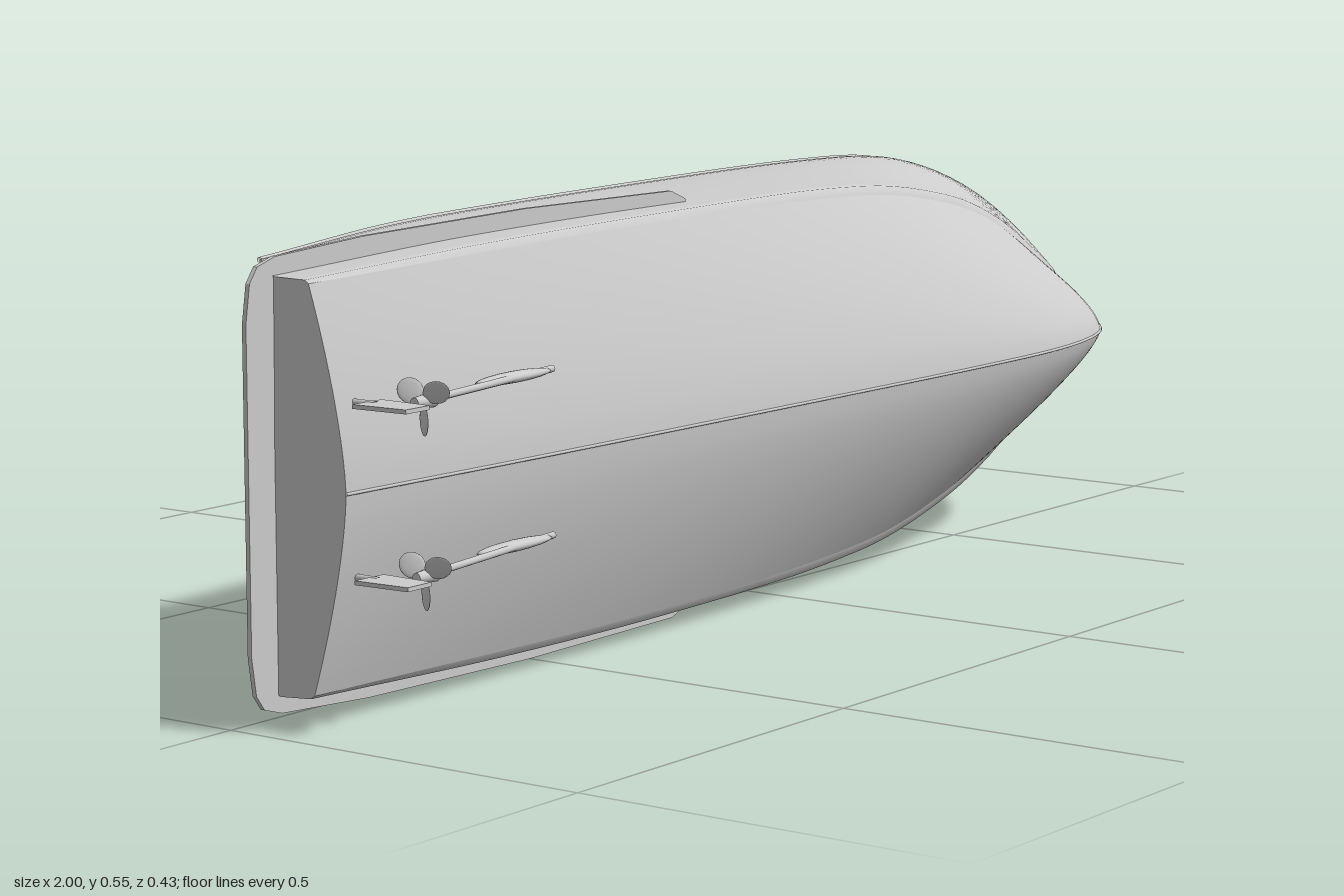
import * as THREE from 'three';
import { RoundedBoxGeometry } from 'three/addons/geometries/RoundedBoxGeometry.js';

const mat = new THREE.MeshStandardMaterial({ color: 0xcccccc, side: THREE.DoubleSide });
const V = (x, y, z) => new THREE.Vector3(x, y, z);
const range = (n, f) => Array.from({ length: n + 1 }, (_, i) => f(i / n));

// Smooth interpolation through [x, value] pairs
function curve(p) {
  const slope = i => {
    const a = p[Math.max(i - 1, 0)], b = p[Math.min(i + 1, p.length - 1)];
    return (b[1] - a[1]) / (b[0] - a[0]);
  };
  return x => {
    let i = 0;
    while (i < p.length - 2 && x > p[i + 1][0]) i++;
    const d = p[i + 1][0] - p[i][0], t = Math.min(1, Math.max(0, (x - p[i][0]) / d)), t2 = t * t, t3 = t2 * t;
    return (2 * t3 - 3 * t2 + 1) * p[i][1] + (t3 - 2 * t2 + t) * d * slope(i)
      + (3 * t2 - 2 * t3) * p[i + 1][1] + (t3 - t2) * d * slope(i + 1);
  };
}

// Hull lines: heights (H) and half-widths (W) along the length
const keelH = curve([[-.95, -.13], [-.6, -.145], [0, -.16], [.35, -.165], [.55, -.155], [.7, -.115], [.8, -.048], [.9, .06], [1, .178]]);
const chineH = curve([[-.95, -.085], [-.3, -.078], [.2, -.052], [.5, -.02], [.7, .003], [.82, .028], [.9, .085], [1, .178]]);
const chineW = curve([[-.95, .235], [-.3, .245], [.2, .235], [.45, .2], [.6, .155], [.75, .085], [.85, .04], [.93, .016], [1, 0]]);
const sheerH = curve([[-.95, .1], [-.6, .117], [0, .143], [.3, .158], [.6, .168], [1, .178]]);
const sheerW = curve([[-.95, .243], [-.6, .26], [0, .266], [.4, .262], [.55, .25], [.7, .21], [.8, .16], [.9, .087], [.96, .037], [1, 0]]);
const crownH = curve([[-.95, .114], [-.6, .128], [-.2, .15], [.1, .166], [.33, .187], [.6, .185], [1, .18]]);
const deckH = (x, w) => sheerH(x) + (crownH(x) - sheerH(x)) * (1 - (w / (sheerW(x) + 1e-6)) ** 2);

// Raked transom; stations aft of -0.5 lean to meet it
const KINK = -.035;
const transomX = h => h > KINK ? -.96 + (h - KINK) * .966 : -.96 + (KINK - h) * .16;
const warp = (x, h, w) => V(x < -.5 ? -.5 + (-.5 - x) / .45 * (transomX(h) + .5) : x, h, w);

// Surface through rows of points
function grid(rows) {
  const n = rows[0].length, idx = [];
  for (let i = 0; i < rows.length - 1; i++) for (let j = 0; j < n - 1; j++) {
    const a = i * n + j;
    idx.push(a, a + 1, a + n, a + 1, a + n + 1, a + n);
  }
  const g = new THREE.BufferGeometry().setFromPoints(rows.flat());
  g.setIndex(idx);
  g.computeVertexNormals();
  return g;
}

const bottomSection = x => range(12, t => warp(x, keelH(x) + (chineH(x) - keelH(x)) * t ** 1.5, chineW(x) * t));
function sideSection(x) {
  const c = chineW(x), s = sheerW(x), ch = chineH(x), sh = sheerH(x);
  const step = Math.min(.012, Math.max(0, (s - c) * .5));
  const pts = range(14, t => {
    const f = Math.sin(t * Math.PI / 2), round = Math.min(.006, s * .1) * t ** 10;
    return warp(x, ch + .005 + (sh - ch - .005) * t, c + step + (s - c - step) * f - round);
  });
  return [warp(x, ch, c), ...pts];
}
const sheerPoint = x => sideSection(x).at(-1);

export function createModel() {
  const model = new THREE.Group(), boat = new THREE.Group();
  model.name = 'motorboat';
  boat.name = 'boat';
  model.add(boat);
  // The boat lies on its side: its up points to -z, its beam runs along y
  boat.rotation.x = -Math.PI / 2;
  boat.position.y = .278;

  const add = (name, geo, x = 0, y = 0, z = 0, parent = boat) => {
    const m = new THREE.Mesh(geo, mat);
    m.name = name;
    m.position.set(x, y, z);
    parent.add(m);
    return m;
  };
  const tube = (name, pts, r, closed = false) =>
    add(name, new THREE.TubeGeometry(new THREE.CatmullRomCurve3(pts, closed), pts.length * 3, r, 8, closed));
  const flip = p => V(p.x, p.y, -p.z);

  // Hull shell, deck and rub rails, mirrored
  const stations = range(70, t => -.95 + 1.95 * t);
  const cx = .08, cl = .2, cw = .185;
  const opening = x => cw * Math.max(0, 1 - Math.abs((x - cx) / cl) ** 6) ** (1 / 6);
  const wellX = range(40, t => cx - cl * Math.cos(t * Math.PI));
  const deckX = [...stations.filter(x => Math.abs(x - cx) > cl), ...wellX].sort((a, b) => a - b);
  const deckRow = x => {
    const edge = sheerPoint(x), wi = Math.min(opening(x), edge.z);
    return range(12, t => {
      const w = wi + (edge.z - wi) * t;
      return t === 1 ? edge : warp(x, deckH(x, w), w);
    });
  };
  const halves = { hullBottom: stations.map(bottomSection), hullSide: stations.map(sideSection), deck: deckX.map(deckRow) };
  for (const [name, rows] of Object.entries(halves)) {
    add(name + 'Left', grid(rows));
    add(name + 'Right', grid(rows.map(r => r.map(flip))));
  }
  const rail = stations.filter((_, i) => i % 2 === 0).map(sheerPoint);
  tube('rubRailLeft', rail, .0035);
  tube('rubRailRight', rail.map(flip), .0035);
  tube('keelStrip', stations.filter((_, i) => i % 2 === 0).map(x => warp(x, keelH(x), 0)), .002);

  // Transom with a grille recess
  const panel = (name, pts, hole) => {
    const all = [...pts, ...pts.map(flip).reverse()];
    const s = new THREE.Shape(all.map(p => new THREE.Vector2(p.z, p.y)));
    if (hole) s.holes.push(new THREE.Path(hole.map(p => new THREE.Vector2(...p))));
    const g = new THREE.ShapeGeometry(s), a = g.attributes.position;
    for (let i = 0; i < a.count; i++) a.setXYZ(i, transomX(a.getY(i)), a.getY(i), a.getX(i));
    g.computeVertexNormals();
    add(name, g);
  };
  const side = sideSection(-.95), k = side.findIndex(p => p.y > KINK);
  const crown = range(8, t => warp(-.95, deckH(-.95, .237 * (1 - t)), .237 * (1 - t))).slice(1);
  const hole = [[-.17, -.02], [.17, -.02], [.17, .085], [-.17, .085]];
  panel('transomUpper', [...side.slice(k), ...crown], hole);
  panel('transomLower', [...bottomSection(-.95), ...side.slice(1, k + 1)]);
  const lip = [...hole, hole[0]].map(([z, h]) => V(transomX(h), h, z));
  const inset = lip.map(p => V(p.x + .05, p.y, p.z));
  add('grilleRecess', grid([lip, inset]).toNonIndexed()).geometry.computeVertexNormals();
  add('grilleBack', grid([[inset[0], inset[1]], [inset[3], inset[2]]]));
  for (let i = 1; i < 6; i++) {
    const h = -.02 + .105 * i / 6;
    add('grilleBar', new THREE.BoxGeometry(.006, .005, .34), transomX(h) + .044, h, 0);
  }
  for (let i = 1; i < 14; i++) {
    const bar = add('grilleSlat', new THREE.BoxGeometry(.004, .145, .004), transomX(.0325) + .045, .0325, -.17 + .34 * i / 14);
    bar.rotation.z = -.768;
  }

  // Cockpit well, floor and coaming
  const ringHalf = wellX.map(x => V(x, deckH(x, opening(x)), opening(x)));
  const ring = [...ringHalf, ...ringHalf.slice(1, -1).reverse().map(flip)];
  const closed = [...ring, ring[0]], FLOOR = -.05;
  add('cockpitWall', grid([closed, closed.map(p => V(p.x, FLOOR, p.z))]));
  add('cockpitFloor', grid(wellX.map(x => [V(x, FLOOR, -opening(x)), V(x, FLOOR, opening(x))])));
  tube('coaming', ring.map(p => V(p.x, p.y + .002, p.z)), .007, true);
  for (let i = -5; i <= 5; i++) add('floorPlank', new THREE.BoxGeometry(.36, .004, .027), cx, FLOOR + .002, i * .031);
  for (const s of [-1, 1]) for (let i = 0; i < 14; i++)
    add('sideRoll', new THREE.CapsuleGeometry(.007, .11, 3, 8), -.02 + i * .0155, .055, s * .177);

  // Bench seat with a padded headrest
  add('seatCushion', new RoundedBoxGeometry(.12, .06, .33, 4, .02), -.035, .005, 0);
  add('seatBase', new THREE.BoxGeometry(.1, .04, .32), -.04, -.03, 0);
  add('seatBack', new RoundedBoxGeometry(.035, .15, .33, 4, .015), -.092, .08, 0).rotation.z = .12;
  add('headrest', new THREE.SphereGeometry(1, 24, 14), -.142, .152, 0).scale.set(.045, .018, .17);

  // Dashboard, gauges and steering wheel
  add('dashboard', new RoundedBoxGeometry(.04, .06, .31, 3, .01), .25, .125, 0).rotation.z = -.3;
  for (const z of [-.08, -.03, .02]) add('gauge', new THREE.CylinderGeometry(.014, .014, .008, 20), .229, .13, z).rotation.z = 1.27;
  const wheel = new THREE.Group();
  wheel.name = 'steeringWheel';
  wheel.position.set(.2, .12, .1);
  wheel.rotation.set(0, Math.PI / 2, 0);
  wheel.rotation.x = -.25;
  boat.add(wheel);
  add('wheelRim', new THREE.TorusGeometry(.036, .004, 8, 32), 0, 0, 0, wheel);
  for (let i = 0; i < 3; i++) {
    const a = i * Math.PI * 2 / 3;
    add('wheelSpoke', new THREE.BoxGeometry(.005, .036, .004), -Math.sin(a) * .018, Math.cos(a) * .018, 0, wheel).rotation.z = a;
  }
  tube('steeringColumn', [V(.2, .12, .1), V(.25, .112, .1)], .006);

  // Double-humped windshield
  const topH = curve([[0, .2], [.05, .206], [.11, .217], [.16, .204], [.205, .166]]);
  const baseX = curve([[0, .31], [.1, .335], [.16, .31], [.205, .25]]);
  const shield = range(40, t => -.205 + .41 * t).map(z => {
    const w = Math.abs(z), bx = baseX(w), bh = deckH(bx, w), tx = .262 - .3 * w * w;
    return range(6, t => V(bx + (tx - bx) * t, bh + (Math.max(topH(w), bh) - bh) * Math.sin(t * Math.PI / 2), z));
  });
  add('windshield', grid(shield));
  tube('windshieldFrame', shield.filter((_, i) => i % 2 === 0).map(r => r[6]), .002);

  // Engine hatch in three raised panels
  const vs = [-1, -.97, -.8, -.55, -.345, -.335, -.325, 0, .325, .335, .345, .55, .8, .97, 1];
  add('engineHatch', grid(range(40, t => -Math.cos(t * Math.PI)).map(u => {
    const x = -.385 + .205 * u, hw = .195 * Math.max(0, 1 - Math.abs(u) ** 8) ** (1 / 8);
    return vs.map(v => {
      const low = Math.abs(v) === 1 || Math.abs(v) === .335 || Math.abs(u) > .995;
      return warp(x, deckH(x, v * hw) + (low ? 0 : .009), v * hw);
    });
  })));
  add('hatchHandle', new RoundedBoxGeometry(.008, .008, .06, 2, .003), -.585, .135, 0);

  // Deck seam and cleats
  tube('foredeckSeam', range(12, t => V(.36 + .62 * t, crownH(.36 + .62 * t), 0)), .0015);
  for (const [x, z] of [[.72, .1], [.72, -.1], [-.7, .2], [-.7, -.2]])
    add('cleat', new RoundedBoxGeometry(.03, .006, .007, 2, .003), x, deckH(x, z) + .002, z);

  // Swim platform running forward into side rails
  const edge = [[-.18, .262], [-.21, .274], [-.5, .277], [-.8, .271], [-.95, .262], [-.98, .253], [-.993, .235], [-1, .19]];
  const plate = new THREE.Shape([...edge, ...edge.map(([x, z]) => [x, -z]).reverse()].map(p => new THREE.Vector2(...p)));
  const plateGeo = new THREE.ExtrudeGeometry(plate, { depth: .006, bevelEnabled: false });
  add('swimPlatform', plateGeo.rotateX(Math.PI / 2), 0, -.028, 0);

  // Shafts, propellers and rudders
  for (const z of [-.1, .1]) {
    tube('propellerShaft', [V(-.58, -.135, z), V(-.88, -.178, z)], .0045);
    add('shaftFairing', new THREE.SphereGeometry(1, 16, 10), -.66, -.141, z).scale.set(.07, .011, .007);
    add('shaftStrut', new THREE.BoxGeometry(.02, .06, .005), -.835, -.145, z).rotation.z = -.2;
    const prop = new THREE.Group();
    prop.name = 'propeller';
    prop.position.set(-.865, -.177, z);
    boat.add(prop);
    add('propellerHub', new THREE.CylinderGeometry(.006, .009, .032, 16), 0, 0, 0, prop).rotation.z = Math.PI / 2;
    for (let i = 0; i < 3; i++) {
      const arm = new THREE.Group();
      arm.name = 'propellerBlade';
      arm.rotation.x = i * Math.PI * 2 / 3 + .5;
      prop.add(arm);
      const blade = add('blade', new THREE.SphereGeometry(1, 16, 10), 0, .022, 0, arm);
      blade.scale.set(.002, .018, .0145);
      blade.rotation.y = .55;
    }
    const fin = new THREE.Shape([[-.942, -.138], [-.894, -.14], [-.897, -.213], [-.938, -.213]].map(p => new THREE.Vector2(...p)));
    add('rudder', new THREE.ExtrudeGeometry(fin, { depth: .005, bevelEnabled: false }), 0, 0, z - .0025);
    tube('rudderStock', [V(-.915, -.1, z), V(-.915, -.15, z)], .004);
  }
  return model;
}
